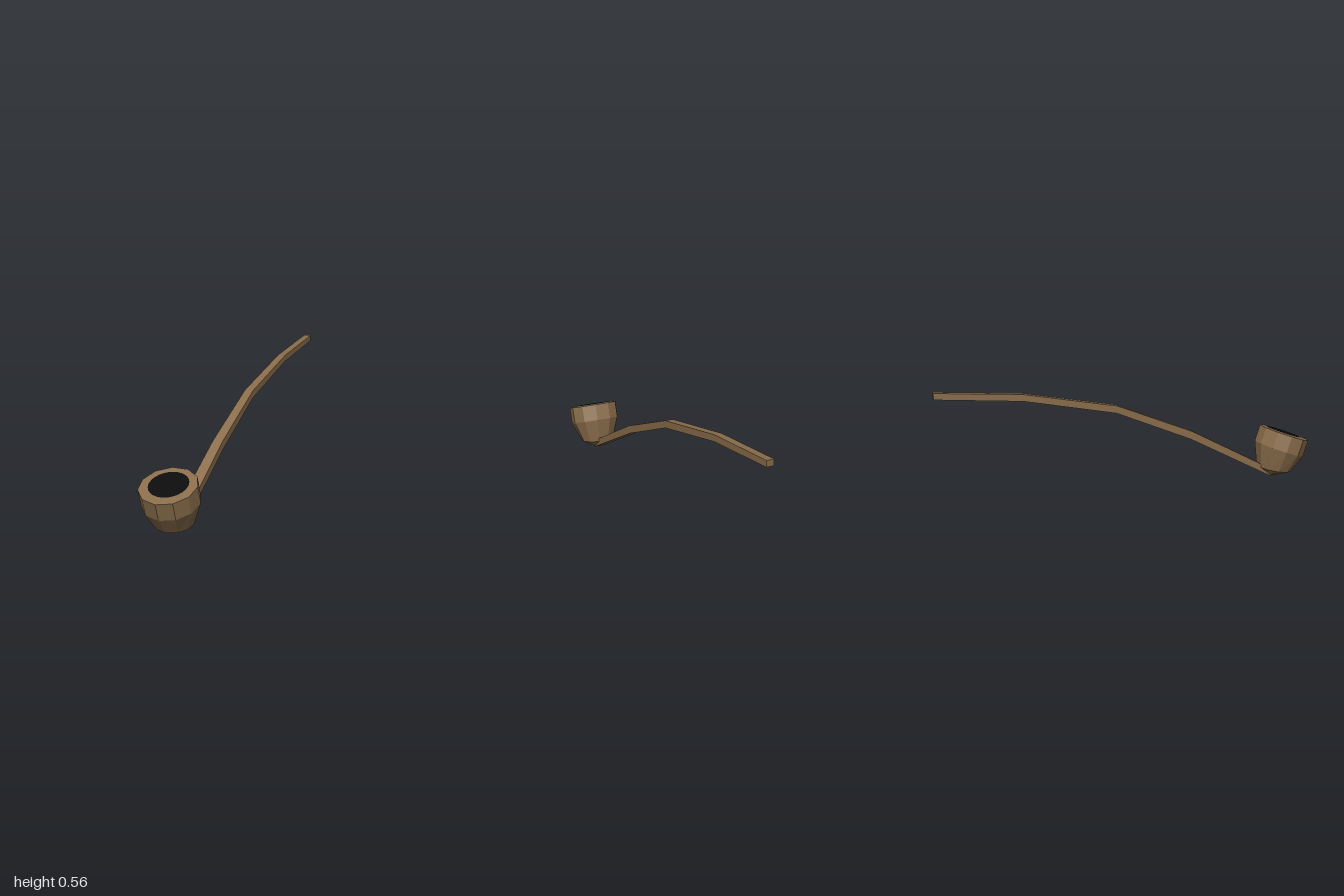
import * as THREE from 'three';

// Skin a series of rings (arrays of Vector3, counter-clockwise about the direction of travel), capped at both ends.
function loft(rings) {
  const pos = [];
  const tri = (...pts) => pts.forEach((p) => pos.push(p.x, p.y, p.z));
  const n = rings[0].length;
  const centre = (ring) => ring.reduce((s, p) => s.add(p), new THREE.Vector3()).divideScalar(n);
  const first = rings[0], last = rings[rings.length - 1];
  const c0 = centre(first), c1 = centre(last);
  for (let i = 0; i < n; i++) {
    const j = (i + 1) % n;
    for (let k = 0; k < rings.length - 1; k++) {
      const a = rings[k], b = rings[k + 1];
      tri(a[i], a[j], b[j]);
      tri(a[i], b[j], b[i]);
    }
    tri(c0, first[j], first[i]);
    tri(c1, last[i], last[j]);
  }
  const geo = new THREE.BufferGeometry();
  geo.setAttribute('position', new THREE.Float32BufferAttribute(pos, 3));
  geo.computeVertexNormals();
  return geo;
}

export function createModel() {
  const wood = new THREE.MeshStandardMaterial({ color: 0x8a6d4b });
  wood.name = 'wood';
  wood.flatShading = true;
  const char = new THREE.MeshStandardMaterial({ color: 0x0a0a0a });
  char.name = 'charred black';

  const group = new THREE.Group();
  const add = (name, geo, mat) => {
    const mesh = new THREE.Mesh(geo, mat);
    mesh.name = name;
    group.add(mesh);
    return mesh;
  };

  // Bowl: eleven-sided rings leaning forward, pinched to a short keel below
  const tilt = 0.332;
  const bowlRings = [
    // centre y, centre z, x radius, z radius, forward tilt
    [0.003, 0.785, 0.03, 0.005, 0],
    [0.034, 0.814, 0.093, 0.093, 0.18],
    [0.1435, 0.841, 0.137, 0.137, tilt],
    [0.2286, 0.87, 0.137, 0.137, tilt],
  ].map(([y, z, rx, rz, t]) => Array.from({ length: 11 }, (_, i) => {
    const a = (i / 11) * Math.PI * 2;
    const d = rz * Math.cos(a);
    return new THREE.Vector3(rx * Math.sin(a), y - d * Math.sin(t), z + d * Math.cos(t));
  }));
  add('bowl', loft(bowlRings), wood);

  // Dark opening lying on the rim
  const opening = add('bowlOpening', new THREE.CircleGeometry(0.093, 28), char);
  opening.rotation.x = tilt - Math.PI / 2;
  opening.position.set(0, 0.233, 0.866);

  // Stem: square section, tapering along a gentle rising bend
  const stemRings = [
    // top z, top y, bottom z, bottom y, half width
    [0.755, 0.056, 0.783, 0, 0.029],
    [0.33, 0.278, 0.322, 0.237, 0.025],
    [-0.077, 0.439, -0.083, 0.402, 0.022],
    [-0.559, 0.527, -0.561, 0.493, 0.02],
    [-1, 0.559, -0.998, 0.527, 0.019],
  ].map(([tz, ty, bz, by, w]) => [
    new THREE.Vector3(-w, ty, tz), new THREE.Vector3(w, ty, tz),
    new THREE.Vector3(w, by, bz), new THREE.Vector3(-w, by, bz),
  ]);
  add('stem', loft(stemRings), wood);

  return group;
}
